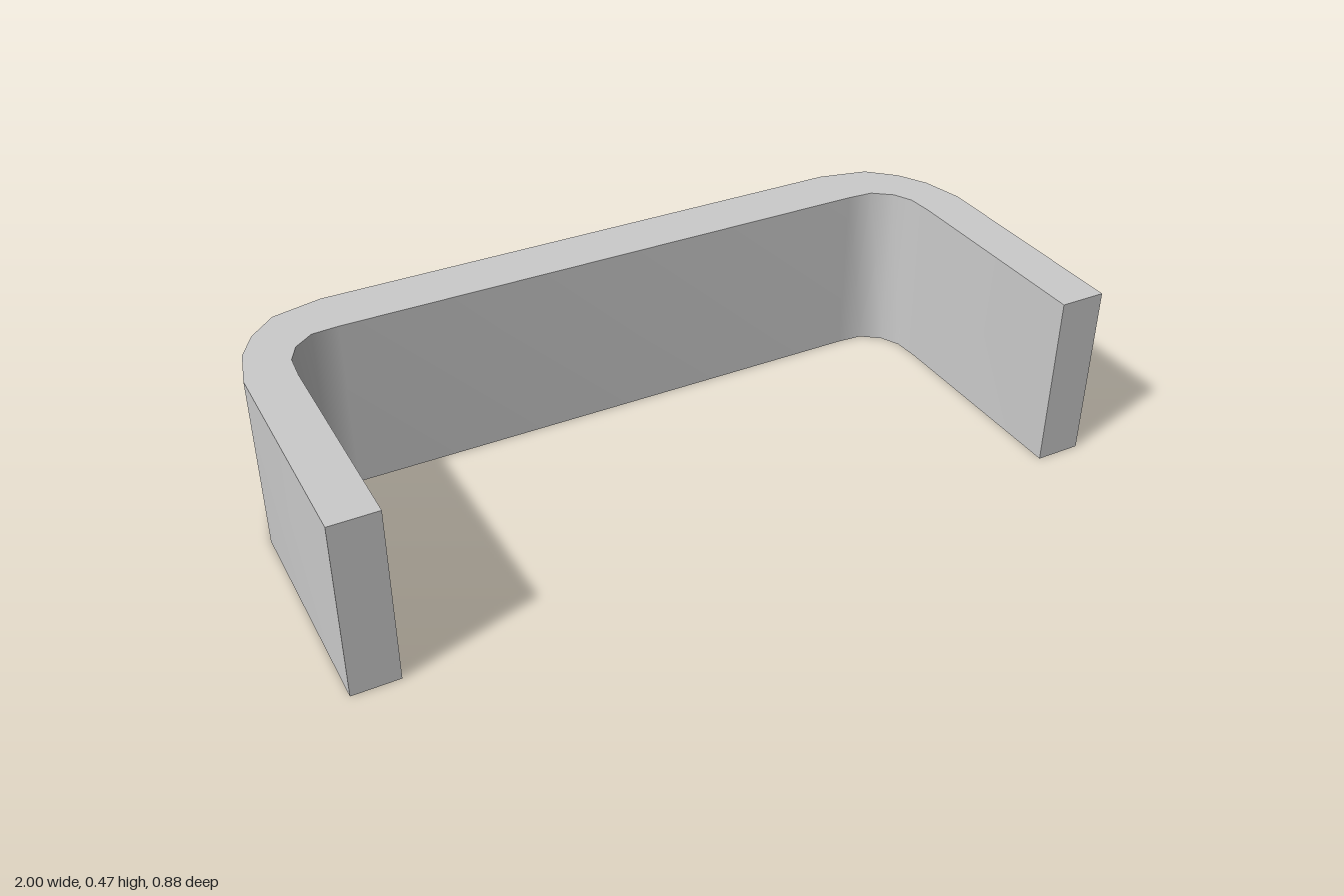
import * as THREE from 'three';
import { toCreasedNormals } from 'three/addons/utils/BufferGeometryUtils.js';

const HEIGHT = 0.467;
const FRONT = 0.44; // z of the leg ends

// Half of the U-shaped plan as [x, z], from the leg towards the back wall
const OUTER = [[1, FRONT], [1, -0.16], [0.973, -0.27], [0.93, -0.345], [0.86, -0.41], [0.73, -0.44]];
const INNER = [[0.88, FRONT], [0.88, -0.13], [0.875, -0.2], [0.85, -0.25], [0.8, -0.288], [0.73, -0.293]];

const mirror = (points) => points.map(([x, z]) => [-x, z]).reverse();

export function createModel() {
  const group = new THREE.Group();
  group.name = 'bracket';

  // Closed outline: along the outside of the U, then back along the inside
  const outline = [...OUTER, ...mirror(OUTER), ...mirror(INNER).reverse(), ...INNER.slice().reverse()];
  const shape = new THREE.Shape(outline.map(([x, z]) => new THREE.Vector2(x, -z)));

  // Upright band with smooth bends and sharp rims
  const extruded = new THREE.ExtrudeGeometry(shape, { depth: HEIGHT, bevelEnabled: false });
  extruded.rotateX(-Math.PI / 2);
  const band = new THREE.Mesh(
    toCreasedNormals(extruded, Math.PI / 5),
    new THREE.MeshStandardMaterial({ color: 0xcccccc })
  );
  band.name = 'bentBand';
  group.add(band);
  return group;
}
